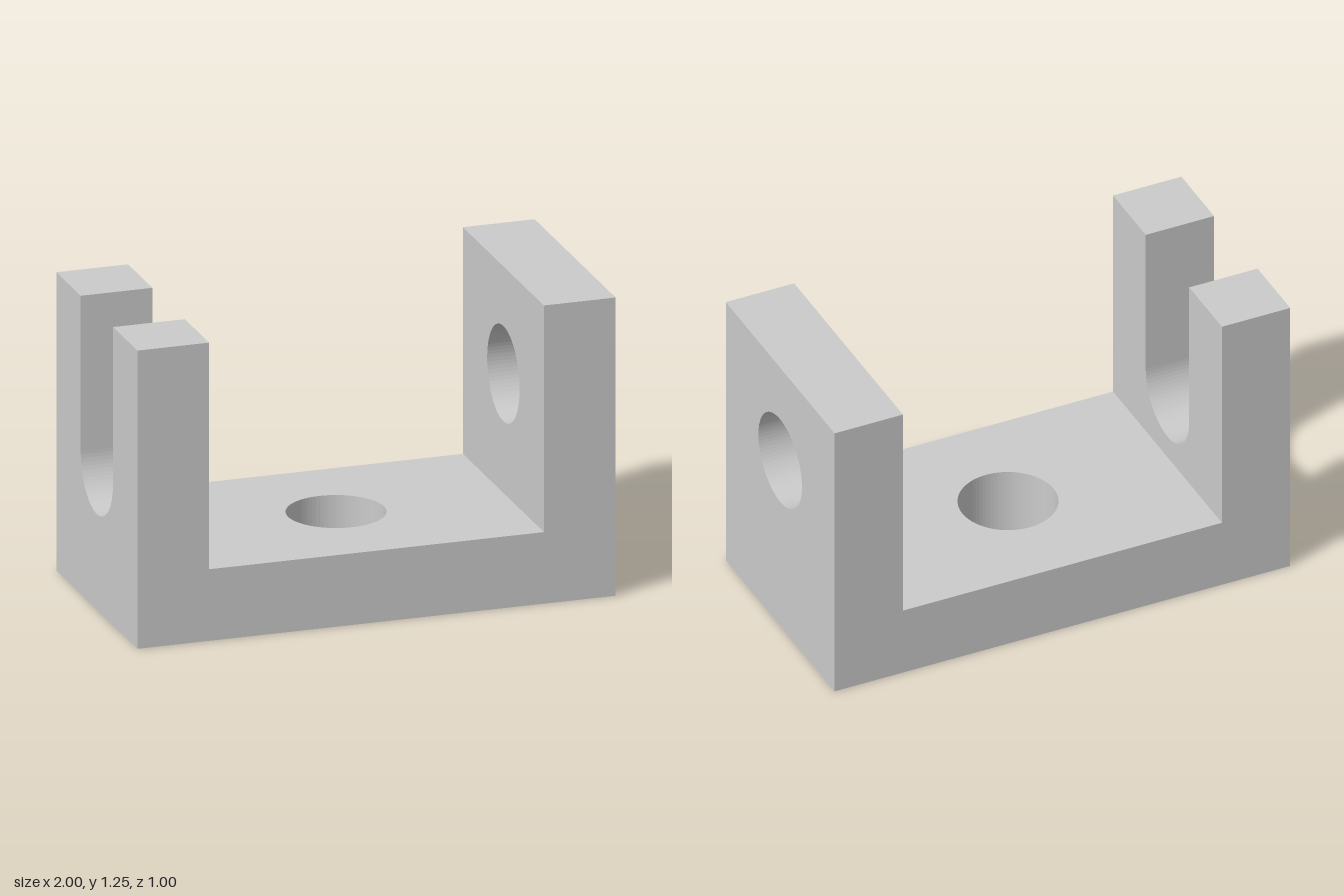
import * as THREE from 'three';

const DEPTH = 1, HEIGHT = 1.25, WALL = 0.3, HOLE_R = 0.2, SEGMENTS = 40;
const HALF_D = DEPTH / 2, FLOOR_HALF = 1 - WALL;

const rectangle = (x0, y0, x1, y1) =>
  new THREE.Shape([[x0, y0], [x1, y0], [x1, y1], [x0, y1]].map(p => new THREE.Vector2(...p)));

const circle = (x, y) => new THREE.Path().absarc(x, y, HOLE_R, 0, Math.PI * 2, true);

const plate = (shape, curveSegments) =>
  new THREE.ExtrudeGeometry(shape, { depth: WALL, bevelEnabled: false, curveSegments });

export function createModel() {
  const model = new THREE.Group();
  model.name = 'bracket';
  const material = new THREE.MeshStandardMaterial({ color: 0xcccccc, flatShading: true });
  const add = (name, geometry) => {
    const mesh = new THREE.Mesh(geometry, material);
    mesh.name = name;
    model.add(mesh);
  };

  // Floor plate between the walls, with a vertical through hole
  const floor = rectangle(-FLOOR_HALF, -HALF_D, FLOOR_HALF, HALF_D);
  floor.holes.push(circle(0, 0));
  add('basePlate', plate(floor, SEGMENTS).rotateX(-Math.PI / 2));

  // Left wall with a round through hole
  const holed = rectangle(-HALF_D, 0, HALF_D, HEIGHT);
  holed.holes.push(circle(0, 0.8));
  add('holedWall', plate(holed, SEGMENTS).rotateY(Math.PI / 2).translate(FLOOR_HALF, 0, 0));

  // Right wall with a round-bottomed slot open at the top
  const slotted = new THREE.Shape();
  slotted.moveTo(-HALF_D, 0);
  slotted.lineTo(HALF_D, 0);
  slotted.lineTo(HALF_D, HEIGHT);
  slotted.lineTo(HOLE_R, HEIGHT);
  slotted.lineTo(HOLE_R, 0.6);
  slotted.absarc(0, 0.6, HOLE_R, 0, -Math.PI, true);
  slotted.lineTo(-HOLE_R, HEIGHT);
  slotted.lineTo(-HALF_D, HEIGHT);
  slotted.closePath();
  add('slottedWall', plate(slotted, SEGMENTS / 2).rotateY(Math.PI / 2).translate(-1, 0, 0));

  return model;
}
